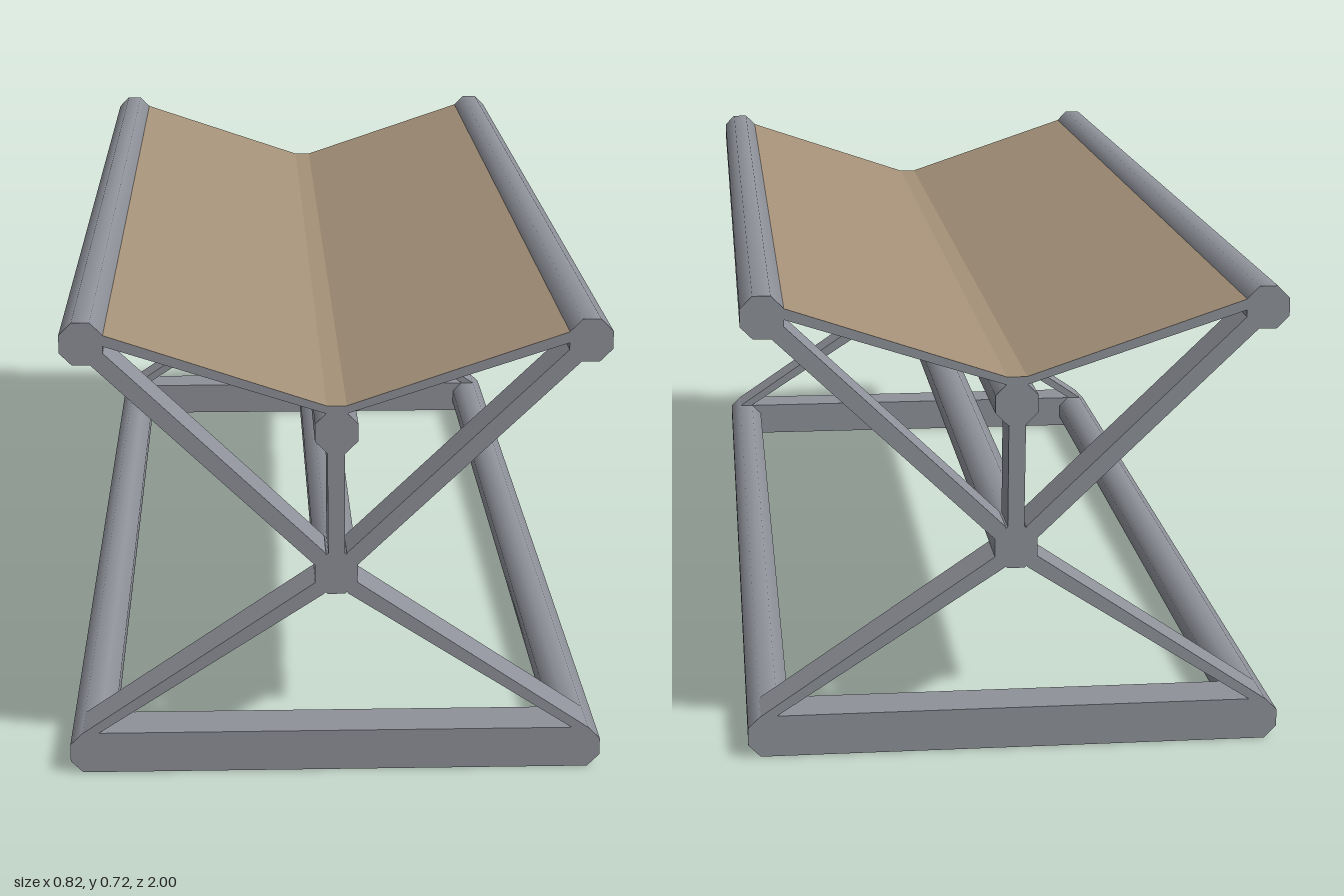
import * as THREE from 'three';

const metal = new THREE.MeshStandardMaterial({ color: 0x8f929a });
metal.name = 'grey metal';
const canvas = new THREE.MeshStandardMaterial({ color: 0xa59178 });
canvas.name = 'tan canvas';

const LENGTH = 2, DEPTH = 0.08;

// Extrudes an outline in the xy plane, from z0 to z0 + depth
function plate(points, z0, depth, materials, name) {
  const shape = new THREE.Shape(points.map(([x, y]) => new THREE.Vector2(x, y)));
  const geometry = new THREE.ExtrudeGeometry(shape, { depth, bevelEnabled: false });
  geometry.translate(0, 0, z0);
  const mesh = new THREE.Mesh(geometry, materials);
  mesh.name = name;
  return mesh;
}

// Eight-sided rod running the full length
function rod(x, y, name) {
  const geometry = new THREE.CylinderGeometry(0.0352, 0.0352, LENGTH, 8);
  geometry.rotateY(Math.PI / 8);
  geometry.rotateX(Math.PI / 2);
  const mesh = new THREE.Mesh(geometry, metal);
  mesh.position.set(x, y, 0);
  mesh.name = name;
  return mesh;
}

export function createModel() {
  const model = new THREE.Group();
  model.name = 'foldingStool';

  // Long rods
  model.add(rod(0, 0.323, 'pivotRod'), rod(0, 0.547, 'seatSupportRod'));
  for (const [s, side] of [[1, 'left'], [-1, 'right']]) {
    model.add(rod(s * 0.378, 0.687, side + 'SeatRail'));
    model.add(rod(s * 0.378, 0.0325, side + 'FootRail'));
  }

  // Crossed end frames
  for (const [z0, end] of [[1 - DEPTH, 'front'], [-1, 'back']]) {
    const frame = new THREE.Group();
    frame.name = end + 'Frame';
    for (const [s, side] of [[1, 'left'], [-1, 'right']]) {
      const upper = [[0.01, 0.335], [0.025, 0.33], [0.366, 0.656], [0.375, 0.685], [0.346, 0.673], [0.016, 0.356]];
      const lower = [[0, 0.32], [0.018, 0.291], [0.366, 0.065], [0.378, 0.04], [0.391, 0.065], [0.032, 0.309]];
      const mirror = (points) => points.map(([x, y]) => [s * x, y]);
      frame.add(plate(mirror(upper), z0, DEPTH, metal, side + 'UpperLeg'));
      frame.add(plate(mirror(lower), z0, DEPTH, metal, side + 'LowerLeg'));
    }
    frame.add(plate([[-0.012, 0.33], [0.013, 0.33], [0.012, 0.54], [-0.014, 0.54]], z0, DEPTH, metal, 'post'));
    frame.add(plate([[-0.378, 0], [0.378, 0], [0.378, 0.065], [-0.378, 0.065]], z0, DEPTH, metal, 'footBar'));
    model.add(frame);
  }

  // Sagging canvas seat, with grey end faces
  const seat = [
    [-0.36, 0.704], [-0.345, 0.7], [-0.015, 0.589], [0.015, 0.589], [0.345, 0.7], [0.36, 0.704],
    [0.36, 0.688], [0.01, 0.575], [-0.01, 0.575], [-0.36, 0.688],
  ];
  model.add(plate(seat, -LENGTH / 2, LENGTH, [metal, canvas], 'seat'));

  return model;
}
